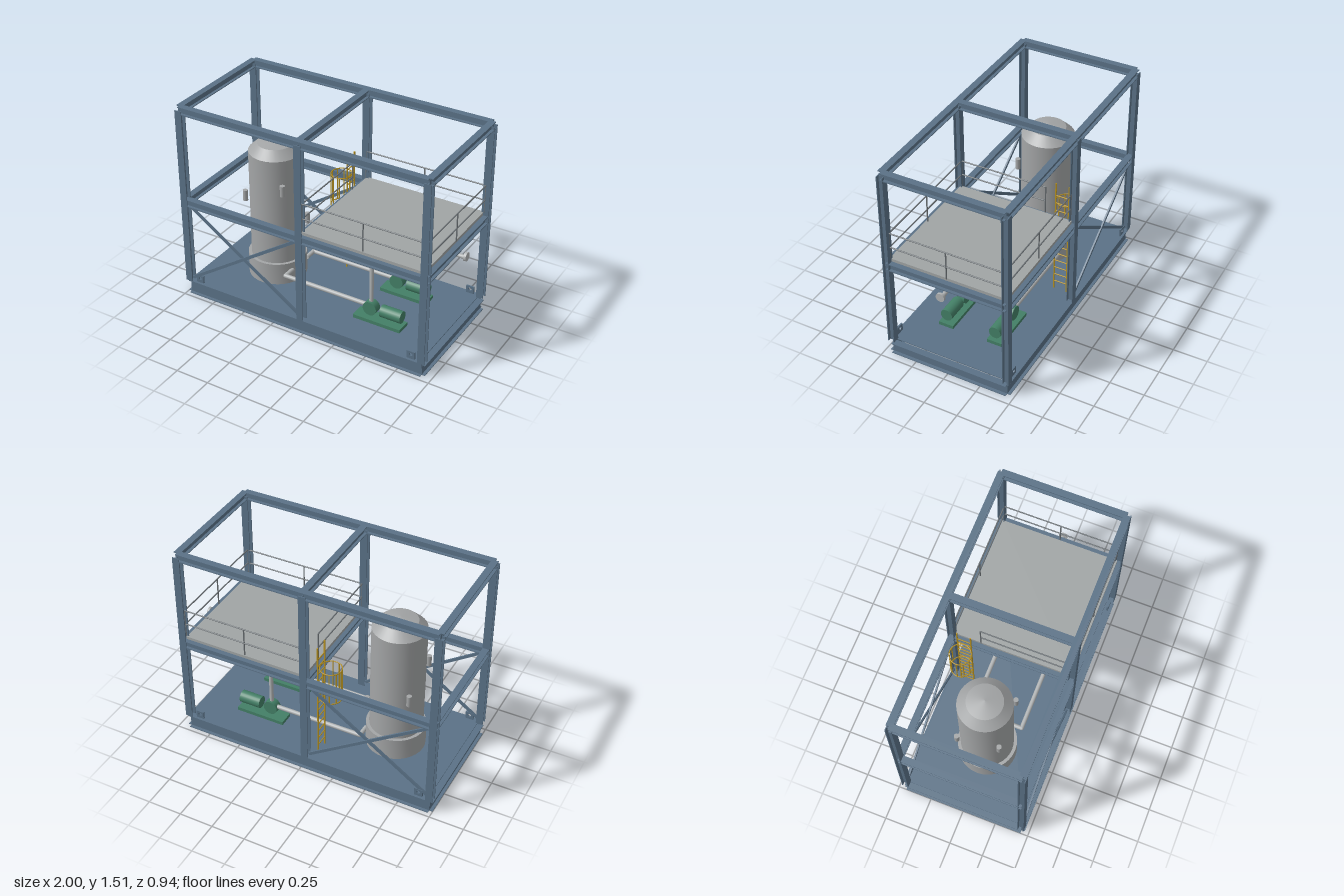
import * as THREE from 'three';
import { mergeGeometries, toCreasedNormals } from 'three/addons/utils/BufferGeometryUtils.js';

const mat = (name, color, side = THREE.FrontSide) => {
  const m = new THREE.MeshStandardMaterial({ color, side });
  m.name = name;
  return m;
};

export function createModel() {
  const root = new THREE.Group();
  const steel = mat('steel blue', 0x5a7186);
  const vesselGrey = mat('vessel grey', 0xa3a5a6);
  const pipeGrey = mat('pipe grey', 0xb0b3b4);
  const plateGrey = mat('platform grey', 0xa0a4a4);
  const railGrey = mat('railing grey', 0x70767a);
  const green = mat('pump green', 0x437f66);
  const yellow = mat('ladder yellow', 0xb8921f);

  const add = (name, geo, material, x = 0, y = 0, z = 0, parent = root) => {
    const m = new THREE.Mesh(geo, material);
    m.name = name;
    m.position.set(x, y, z);
    parent.add(m);
    return m;
  };
  const group = (name) => {
    const g = new THREE.Group();
    g.name = name;
    root.add(g);
    return g;
  };
  const box = (w, h, d) => new THREE.BoxGeometry(w, h, d);

  // I-section member along an axis, flanges above and below (front and back for columns)
  const beam = (name, axis, len, h, w, x, y, z, parent) => {
    const t = 0.006;
    const g = mergeGeometries([
      box(0.006, h - 2 * t, len),
      box(w, t, len).translate(0, (h - t) / 2, 0),
      box(w, t, len).translate(0, -(h - t) / 2, 0),
    ]);
    if (axis === 'x') g.rotateY(Math.PI / 2);
    if (axis === 'y') g.rotateX(Math.PI / 2);
    add(name, g, steel, x, y, z, parent);
  };
  // Round bar between two points
  const rod = (name, a, b, r, material, parent, sides = 8) => {
    const p = new THREE.Vector3(...a), q = new THREE.Vector3(...b);
    const d = q.clone().sub(p);
    const m = add(name, new THREE.CylinderGeometry(r, r, d.length(), sides), material, 0, 0, 0, parent);
    m.position.copy(p).add(q).multiplyScalar(0.5);
    m.quaternion.setFromUnitVectors(new THREE.Vector3(0, 1, 0), d.normalize());
  };
  // Pipe run through points, with a ball at each elbow
  const pipe = (name, pts, r, parent) => {
    for (let i = 1; i < pts.length; i++) {
      rod(name, pts[i - 1], pts[i], r, pipeGrey, parent, 16);
      if (i < pts.length - 1) add(name + 'Elbow', new THREE.SphereGeometry(r, 16, 10), pipeGrey, ...pts[i], parent);
    }
  };

  const X = [-0.975, -0.027, 0.92], Z = 0.444;
  const midX = (X[0] + X[2]) / 2, lenX = X[2] - X[0];

  // Base skid
  const base = group('baseSkid');
  for (const s of [-1, 1]) beam('baseLongBeam', 'x', lenX, 0.107, 0.048, midX, 0.0535, s * Z, base);
  for (let i = 0; i < 4; i++) beam('baseCrossBeam', 'z', 2 * Z, 0.085, 0.05, X[0] + (lenX * i) / 3, 0.0425, 0, base);
  add('deckPlate', box(1.865, 0.006, 0.888), steel, midX, 0.104, 0, base);

  // Columns and the two levels of beams
  const frame = group('frame');
  for (const s of [-1, 1]) {
    for (const x of X) beam('column', 'y', 1.37, 0.048, 0.053, x, 0.791, s * Z, frame);
    for (const y of [0.761, 1.479]) beam('longBeam', 'x', lenX, 0.057, 0.048, midX, y, s * Z, frame);
  }
  for (const x of X) for (const y of [0.761, 1.479]) beam('crossBeam', 'z', 2 * Z, 0.057, 0.048, x, y, 0, frame);

  // Crossed braces on both long sides of the vessel bay
  for (const s of [-1, 1]) for (const d of [-1, 1]) {
    const dx = 0.89, dy = 0.6;
    const b = add('brace', box(Math.hypot(dx, dy), 0.022, 0.012), steel, -0.501, 0.435, s * Z + d * 0.004, frame);
    b.rotation.z = d * Math.atan2(dy, dx);
  }

  // Lifting lugs with holes
  const lugShape = new THREE.Shape([[-0.03, 0], [0.03, 0], [0.03, 0.058], [-0.03, 0.058]].map((p) => new THREE.Vector2(...p)));
  const eye = new THREE.Path();
  eye.absarc(0, 0.033, 0.013, 0, Math.PI * 2, true);
  lugShape.holes.push(eye);
  const lugGeo = new THREE.ExtrudeGeometry(lugShape, { depth: 0.012, bevelEnabled: false, curveSegments: 12 });
  for (const x of [-0.89, 0.836]) for (const s of [-1, 1]) add('liftingLug', lugGeo, steel, x, 0.107, s * Z - 0.006, base);

  // Vessel with conical head segments, on a wider skirt
  const vessel = group('vessel');
  vessel.position.set(-0.51, 0, 0);
  const lathe = (pts) => toCreasedNormals(new THREE.LatheGeometry(pts.map((p) => new THREE.Vector2(...p)), 32), 0.3);
  add('shell', lathe([[0.19, 0.11], [0.19, 1.1], [0.126, 1.16], [0, 1.187]]), vesselGrey, 0, 0, 0, vessel);
  add('skirt', lathe([[0, 0.107], [0.213, 0.107], [0.213, 0.275], [0.19, 0.275]]), vesselGrey, 0, 0, 0, vessel);
  // Short nozzles stepping around the shell
  [[1, -1, 0.51], [-1, -1, 0.635], [-1, 1, 0.762], [1, 1, 0.888]].forEach(([sx, sz, y]) =>
    add('nozzle', new THREE.CylinderGeometry(0.018, 0.018, 0.082, 16), vesselGrey, sx * 0.157, y, sz * 0.157, vessel));

  // Pump sets with suction and discharge pipes
  for (const s of [-1, 1]) {
    const z = s * 0.19;
    const pump = group('pumpSet');
    add('pumpBase', box(0.37, 0.026, 0.112), green, 0.455, 0.12, z, pump);
    add('pumpCasing', new THREE.CylinderGeometry(0.053, 0.053, 0.058, 24).rotateX(Math.PI / 2), green, 0.385, 0.203, z, pump);
    add('motor', new THREE.CylinderGeometry(0.045, 0.045, 0.16, 24).rotateZ(Math.PI / 2), green, 0.55, 0.203, z, pump);
    pipe('suctionPipe', [[-0.322, 0.213, s * 0.096], [-0.322, 0.213, z], [0.36, 0.213, z]], 0.016, pump);
    pipe('dischargePipe', [[0.385, 0.23, z], [0.385, 0.709, z], [0.385, 0.709, 0]], 0.015, pump);
  }
  pipe('outletHeader', [[0.385, 0.709, 0], [0.985, 0.709, 0]], 0.015, root);
  add('outletFlange', new THREE.CylinderGeometry(0.032, 0.032, 0.018, 24).rotateZ(Math.PI / 2), pipeGrey, 0.991, 0.717, 0);

  // Platform and its railings
  const platform = group('platform');
  const px0 = -0.02, px1 = 0.912, pz = 0.424;
  add('platformPlate', box(0.925, 0.022, 0.87), plateGrey, 0.4435, 0.801, 0, platform);
  const railing = (a, b, posts) => {
    for (const y of [0.91, 1.024]) rod('rail', [a[0], y, a[1]], [b[0], y, b[1]], 0.005, railGrey, platform);
    for (let i = 0; i < posts; i++) {
      const t = i / (posts - 1), x = a[0] + (b[0] - a[0]) * t, z = a[1] + (b[1] - a[1]) * t;
      rod('railPost', [x, 0.81, z], [x, 1.026, z], 0.005, railGrey, platform);
    }
  };
  railing([px0, pz], [px1, pz], 3);
  railing([px0, -pz], [px1, -pz], 3);
  railing([px1, pz], [px1, -pz], 3);
  railing([px0, pz], [px0, -0.232], 2);

  // Caged ladder
  const ladder = group('ladder');
  for (const z of [-0.276, -0.376]) add('ladderRail', box(0.008, 0.918, 0.008), yellow, -0.09, 0.566, z, ladder);
  for (let i = 0; i < 13; i++) rod('rung', [-0.09, 0.175 + i * 0.0625, -0.276], [-0.09, 0.175 + i * 0.0625, -0.376], 0.004, yellow, ladder);
  for (const y of [0.6, 0.85]) {
    add('cageHoop', new THREE.TorusGeometry(0.077, 0.004, 6, 28).rotateX(Math.PI / 2), yellow, -0.165, y, -0.326, ladder);
  }
  for (let i = 0; i < 7; i++) {
    const a = Math.PI * (0.4 + 0.2 * i);
    add('cageBar', box(0.006, 0.25, 0.006), yellow, -0.165 + 0.077 * Math.cos(a), 0.725, -0.326 + 0.077 * Math.sin(a), ladder);
  }
  return root;
}
